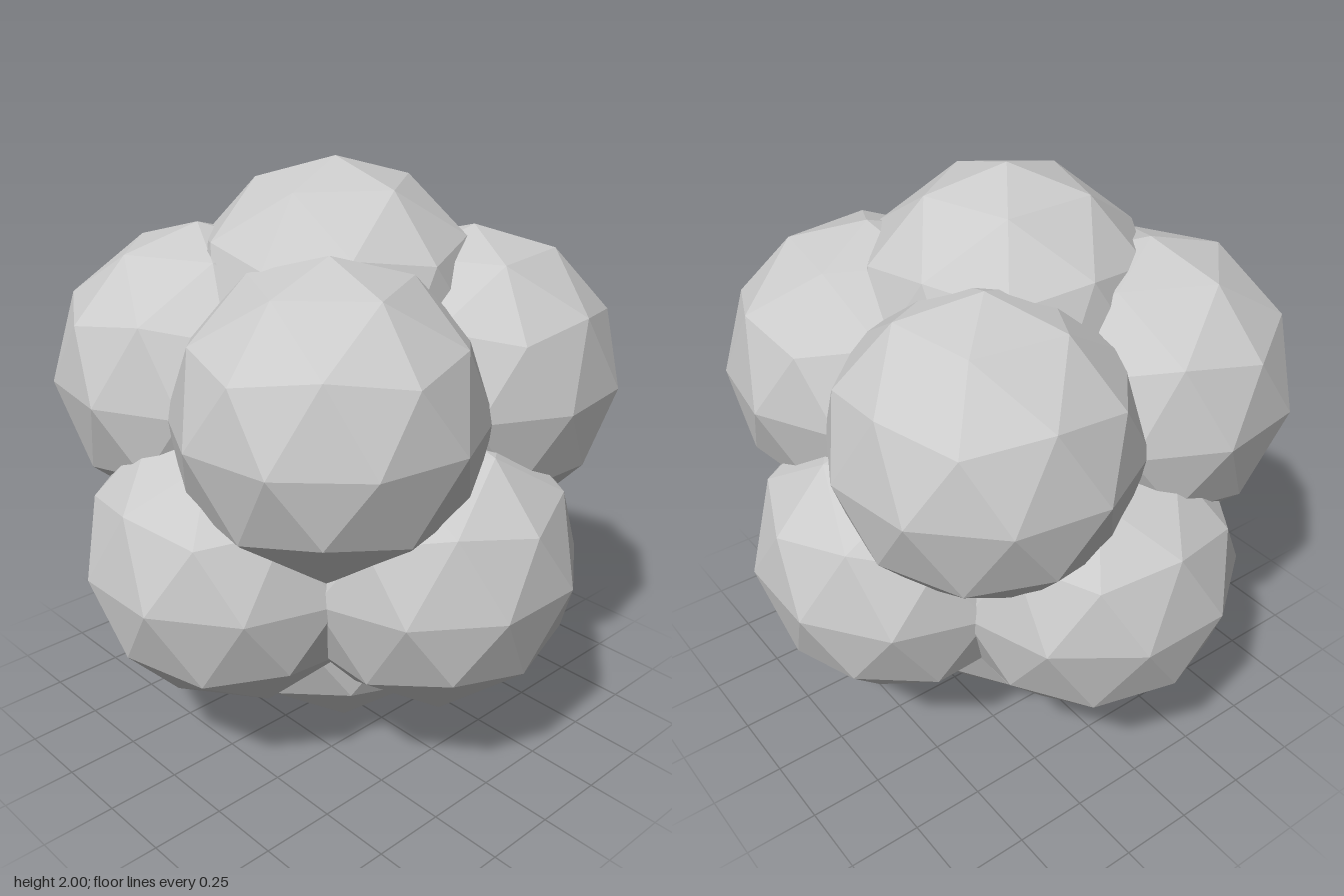
import * as THREE from 'three';

export function createModel() {
  const group = new THREE.Group();
  const material = new THREE.MeshStandardMaterial({ color: 0xcccccc, flatShading: true });

  // Faceted ball standing on one of its vertices
  const ballGeometry = new THREE.IcosahedronGeometry(0.5, 1);
  ballGeometry.rotateZ(-Math.atan(2 / (1 + Math.sqrt(5))));

  function addBall(name, x, y, z, turn) {
    const ball = new THREE.Mesh(ballGeometry, material);
    ball.name = name;
    ball.position.set(x, y, z);
    ball.rotation.y = turn;
    group.add(ball);
  }

  // Ring of four balls; opposite balls share the same turn
  function addRing(name, y, start) {
    const radius = 0.447;
    for (let i = 0; i < 4; i++) {
      const angle = start + (i * Math.PI) / 2;
      const turn = start + ((i % 2) * Math.PI) / 2;
      addBall(name + (i + 1), radius * Math.cos(angle), y, -radius * Math.sin(angle), turn);
    }
  }

  addBall('bottomBall', 0, 0.5, 0, 0);
  addRing('lowerBall', 0.76, 0);
  addRing('upperBall', 1.287, Math.PI / 4);
  addBall('topBall', 0, 1.5, 0, 0);

  return group;
}
